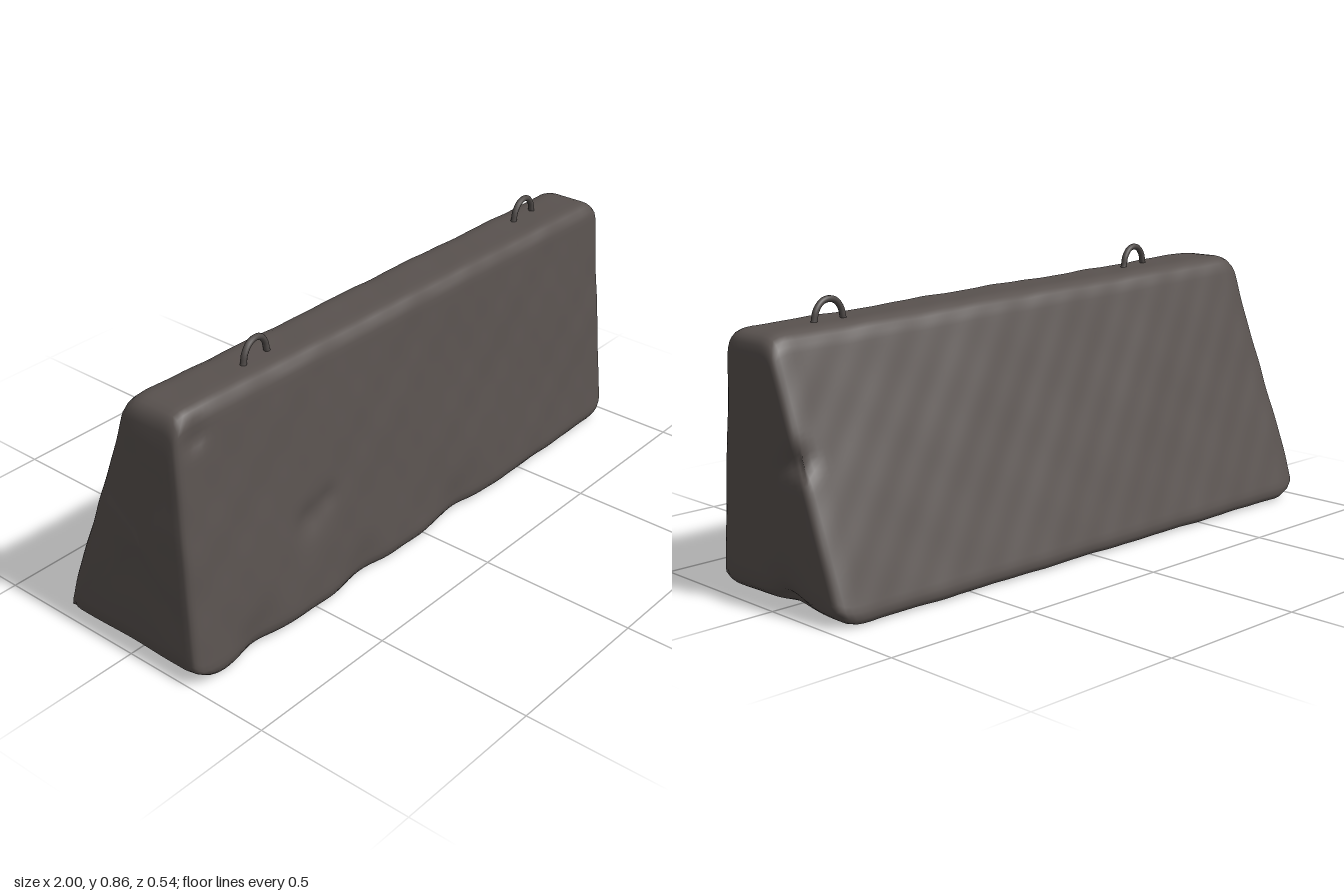
import * as THREE from 'three';

const concrete = new THREE.MeshStandardMaterial({ color: 0x59524f });
concrete.name = 'darkConcrete';
const steel = new THREE.MeshStandardMaterial({ color: 0x4f4a48 });
steel.name = 'liftingSteel';

// Smooth repeatable lumps, roughly -1..1
function lumps(x, y, z) {
  return 0.4 * Math.sin(7 * x + 3 * y + 1.3) * Math.cos(9 * y - 5 * z)
    + 0.35 * Math.sin(17 * x - 11 * y + 8 * z) * Math.cos(13 * z + 12 * y + 0.7)
    + 0.25 * Math.sin(37 * x + 21 * z) * Math.sin(31 * y + 9 * x + 2);
}

// Chips and dents: centre x, y, z, radius, depth
const dents = [
  [-0.5, 0.3, 0.23, 0.07, 0.016],
  [-0.42, 0.33, 0.23, 0.05, 0.01],
  [-0.88, 0.73, 0.18, 0.05, 0.02],
  [0.98, 0.45, -0.11, 0.06, 0.025],
  [-0.3, 0.02, 0.27, 0.12, 0.015],
  [0.15, 0.02, 0.27, 0.15, 0.015],
  [-0.75, 0.02, 0.27, 0.12, 0.018],
  [0.98, 0.0, -0.05, 0.1, 0.03],
];

// Rounded, lopsided trapezoid section as (z, y) points
function sectionPoints() {
  const corners = [[0.275, 0, 0.045], [-0.285, 0, 0.045], [-0.02, 0.805, 0.05], [0.178, 0.805, 0.045]]
    .map(([z, y, r]) => ({ p: new THREE.Vector2(z, y), r }));
  const shape = new THREE.Shape();
  corners.forEach(({ p, r }, i) => {
    const prev = corners[(i + 3) % 4].p, next = corners[(i + 1) % 4].p;
    const a = p.clone().add(prev.clone().sub(p).setLength(r));
    const b = p.clone().add(next.clone().sub(p).setLength(r));
    if (i === 0) shape.moveTo(a.x, a.y); else shape.lineTo(a.x, a.y);
    shape.quadraticCurveTo(p.x, p.y, b.x, b.y);
  });
  shape.closePath();
  return shape.getSpacedPoints(120).slice(0, 120);
}

// Piecewise-linear lookup
function lookup(table, v) {
  for (let i = 1; i < table.length; i++) {
    if (v <= table[i][0]) {
      const [v0, a] = table[i - 1], [v1, b] = table[i];
      return a + (b - a) * Math.max(0, (v - v0) / (v1 - v0));
    }
  }
  return table[table.length - 1][1];
}
const leftEdge = [[0, -0.945], [0.05, -0.998], [0.15, -0.993], [0.8, -0.945]];
const rightEdge = [[0, 0.955], [0.05, 0.98], [0.4, 0.99], [0.75, 1.0]];

function makeBlock() {
  const pts = sectionPoints(), n = pts.length;
  // Rings: [position along the length, section scale], with both ends closed in
  const end = [[0, 0], [0, 0.2], [0, 0.4], [0, 0.6], [0, 0.75], [0, 0.87],
    [0.002, 0.92], [0.006, 0.955], [0.013, 0.98], [0.023, 0.995]];
  const rings = [...end];
  for (let i = 0; i <= 90; i++) rings.push([0.035 + 0.93 * i / 90, 1]);
  for (const [t, s] of [...end].reverse()) rings.push([1 - t, s]);

  const pos = [], index = [];
  for (const [t, s] of rings) {
    for (const q of pts) {
      let z = 0.045 + (q.x - 0.045) * s;
      let y = 0.37 + (q.y - 0.37) * s;
      let x = THREE.MathUtils.lerp(lookup(leftEdge, y), lookup(rightEdge, y), t);
      // Push towards the centre by lumps and dents
      let push = 0.004 * lumps(x, y, z) + 0.002;
      for (const [dx, dy, dz, r, depth] of dents) {
        const d2 = (x - dx) ** 2 + (y - dy) ** 2 + (z - dz) ** 2;
        push += depth * Math.exp(-d2 / (r * r) * 2);
      }
      const dir = new THREE.Vector2(q.x - 0.045, (q.y - 0.37) * 0.4).normalize();
      z -= dir.x * push * s;
      y -= dir.y * push * s;
      if (t < 0.01) x += push * 0.8;
      if (t > 0.99) x -= push * 0.8;
      // The top slopes down towards the left end
      y *= 1 - 0.05 * t;
      pos.push(x, Math.max(0, y), z);
    }
  }
  for (let i = 0; i < rings.length - 1; i++) {
    for (let j = 0; j < n; j++) {
      const a = i * n + j, b = i * n + (j + 1) % n, c = a + n, d = b + n;
      if (i > 0) index.push(a, b, c);
      if (i < rings.length - 2) index.push(b, d, c);
      else index.push(a, b, c);
      if (i === 0) index.push(b, d, c);
    }
  }
  const geo = new THREE.BufferGeometry();
  geo.setAttribute('position', new THREE.Float32BufferAttribute(pos, 3));
  geo.setIndex(index);
  geo.computeVertexNormals();
  const mesh = new THREE.Mesh(geo, concrete);
  mesh.name = 'concreteBlock';
  return mesh;
}

// Bent bar with feet sunk into the top
function makeLoop(name, x, y, z, turn) {
  const path = new THREE.CatmullRomCurve3([
    [-0.068, -0.03], [-0.054, 0], [-0.046, 0.03], [-0.026, 0.053], [0, 0.06],
    [0.026, 0.053], [0.046, 0.03], [0.054, 0], [0.068, -0.03],
  ].map(([px, py]) => new THREE.Vector3(px, py, 0)));
  const mesh = new THREE.Mesh(new THREE.TubeGeometry(path, 40, 0.0095, 10), steel);
  mesh.position.set(x, y, z);
  mesh.rotation.y = turn;
  mesh.name = name;
  return mesh;
}

export function createModel() {
  const group = new THREE.Group();
  group.name = 'concreteBarrier';
  group.add(makeBlock());
  group.add(makeLoop('rightLiftingLoop', -0.557, 0.795, 0.092, 0.12));
  group.add(makeLoop('leftLiftingLoop', 0.735, 0.766, 0.059, 0.06));
  return group;
}
